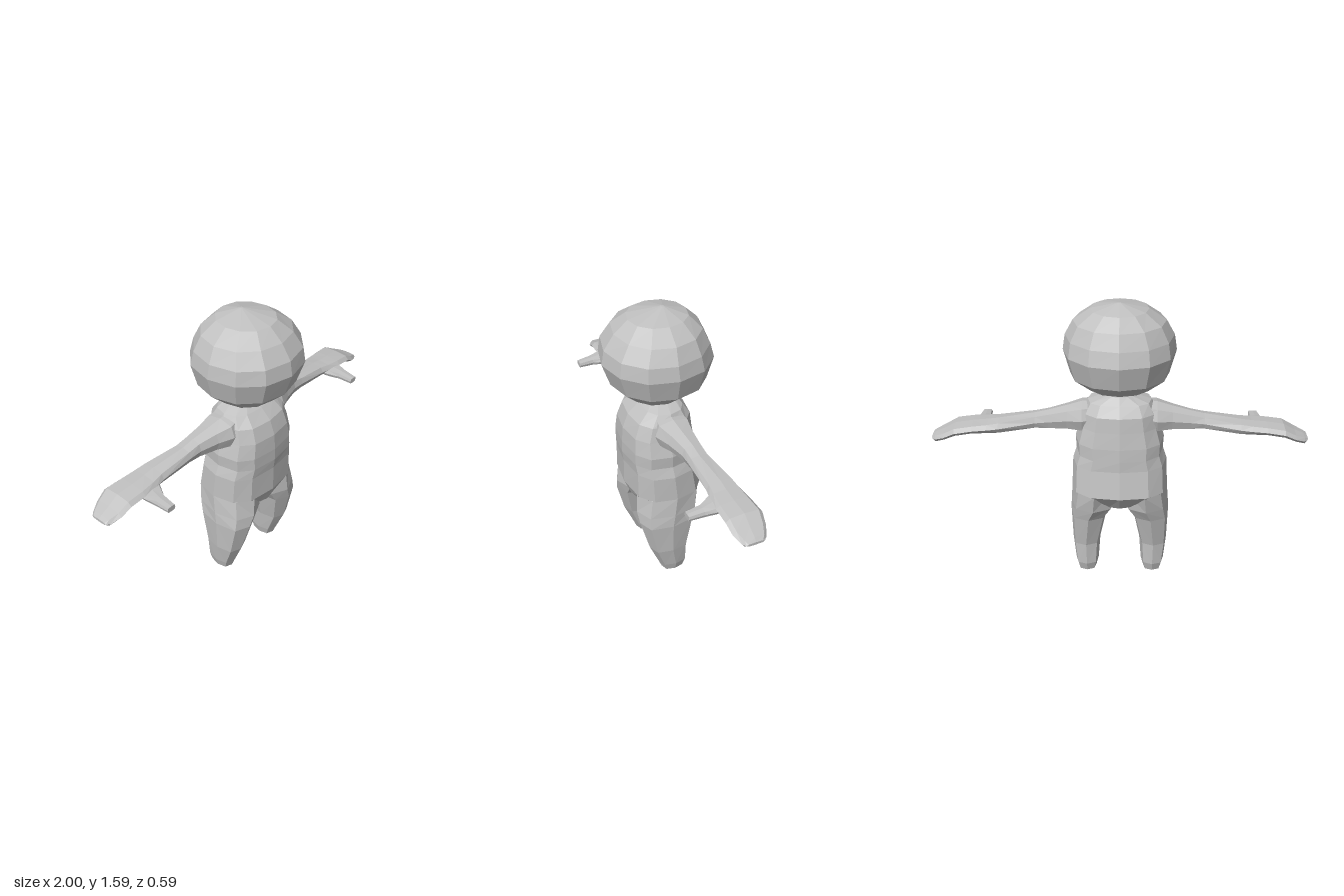
import * as THREE from 'three';

const skin = new THREE.MeshStandardMaterial({ color: 0xc0c0c0, flatShading: true });
skin.name = 'plain grey';

// Closed section between (a0..a1) and (b0..b1); power below 1 makes it boxier
function section(n, a0, a1, b0, b1, power, place) {
  const soft = (v) => (Math.abs(v) < 1e-6 ? 0 : Math.sign(v) * Math.abs(v) ** power);
  return Array.from({ length: n }, (_, j) => {
    const t = (j / n) * Math.PI * 2;
    const a = (a0 + a1) / 2 + ((a1 - a0) / 2) * soft(Math.cos(t));
    const b = (b0 + b1) / 2 + ((b1 - b0) / 2) * soft(Math.sin(t));
    return place(a, b);
  });
}

// Skin over successive sections, closed at both ends; side -1 mirrors in x
function loft(name, rings, side = 1) {
  const n = rings[0].length;
  const pos = [];
  const index = [];
  const tri = (a, b, c) => (side > 0 ? index.push(a, b, c) : index.push(a, c, b));
  const centre = (ring) => [0, 1, 2].map((k) => ring.reduce((s, p) => s + p[k], 0) / n);
  const ends = [centre(rings[0]), centre(rings[rings.length - 1])];
  [...rings.flat(), ...ends].forEach((p) => pos.push(side * p[0], p[1], p[2]));
  const first = rings.length * n;
  const top = first - n;
  for (let j = 0; j < n; j++) {
    const k = (j + 1) % n;
    for (let i = 0; i < rings.length - 1; i++) {
      const a = i * n + j, b = i * n + k;
      tri(a, a + n, b);
      tri(b, a + n, b + n);
    }
    tri(first, j, k);
    tri(first + 1, top + k, top + j);
  }
  const indexed = new THREE.BufferGeometry();
  indexed.setAttribute('position', new THREE.Float32BufferAttribute(pos, 3));
  indexed.setIndex(index);
  const geometry = indexed.toNonIndexed();
  geometry.computeVertexNormals();
  const mesh = new THREE.Mesh(geometry, skin);
  mesh.name = name;
  return mesh;
}

// Section at height y: x range, z back to front
const level = (n, power, y, x0, x1, back, front) =>
  section(n, x0, x1, back, front, power, (x, z) => [x, y, z]);

export function createModel() {
  const group = new THREE.Group();
  group.name = 'figure';

  // Head: y, half width, back, front
  group.add(loft('head', [
    [1.09, 0.03, -0.03, 0.03],
    [1.125, 0.17, -0.15, 0.165],
    [1.205, 0.26, -0.26, 0.25],
    [1.33, 0.295, -0.293, 0.293],
    [1.41, 0.283, -0.27, 0.28],
    [1.49, 0.24, -0.23, 0.225],
    [1.553, 0.15, -0.165, 0.15],
    [1.59, 0.008, -0.045, -0.03],
  ].map(([y, w, b, f]) => level(12, 0.96, y, -w, w, b, f))));

  // Torso: y, half width, back, front
  group.add(loft('torso', [
    [0.42, 0.04, -0.06, 0.06],
    [0.455, 0.1, -0.15, 0.15],
    [0.55, 0.263, -0.22, 0.19],
    [0.7, 0.256, -0.19, 0.19],
    [0.76, 0.236, -0.188, 0.197],
    [0.83, 0.24, -0.183, 0.197],
    [0.92, 0.215, -0.17, 0.19],
    [1.0, 0.2, -0.16, 0.16],
    [1.055, 0.17, -0.12, 0.1],
    [1.095, 0.07, -0.09, 0.04],
  ].map(([y, w, b, f]) => level(12, 0.75, y, -w, w, b, f))));

  for (const side of [1, -1]) {
    const label = side > 0 ? 'left' : 'right';

    // Leg: y, inner x, outer x, back, front, power; the top sinks into the torso
    group.add(loft(label + 'Leg', [
      [0, 0.135, 0.238, -0.085, 0.045, 0.75],
      [0.05, 0.122, 0.252, -0.1, 0.065, 0.75],
      [0.18, 0.112, 0.268, -0.102, 0.12, 0.72],
      [0.37, 0.07, 0.275, -0.145, 0.17, 0.7],
      [0.44, 0.02, 0.271, -0.175, 0.178, 0.8],
      [0.55, 0.01, 0.262, -0.2, 0.172, 1],
      [0.65, 0.06, 0.2, -0.12, 0.12, 1],
    ].map(([y, x0, x1, b, f, power]) => level(8, power, y, x0, x1, b, f)), side));

    // Arm and mitten hand: x, back, front, bottom, top
    group.add(loft(label + 'Arm', [
      [0.1, -0.09, 0.07, 0.9, 1.05],
      [0.2, -0.11, 0.09, 0.885, 1.04],
      [0.28, -0.095, 0.055, 0.895, 1.02],
      [0.38, -0.09, 0.025, 0.9, 0.998],
      [0.45, -0.092, 0.022, 0.905, 0.983],
      [0.64, -0.13, 0.022, 0.892, 0.96],
      [0.7, -0.138, 0.032, 0.893, 0.952],
      [0.78, -0.147, 0.04, 0.895, 0.945],
      [0.87, -0.157, 0.037, 0.885, 0.935],
      [0.93, -0.145, 0.03, 0.858, 0.902],
      [0.98, -0.12, 0.008, 0.838, 0.88],
      [1.0, -0.1, -0.005, 0.853, 0.868],
    ].map(([x, b, f, y0, y1]) =>
      section(8, b, f, y0, y1, 0.68, (z, y) => [x, y, z])), side));

    // Thumb: z, x range, y range, running forward from the palm
    group.add(loft(label + 'Thumb', [
      [-0.01, 0.65, 0.8, 0.895, 0.935],
      [0.035, 0.675, 0.785, 0.882, 0.925],
      [0.09, 0.705, 0.77, 0.876, 0.915],
      [0.17, 0.712, 0.762, 0.874, 0.905],
    ].map(([z, x0, x1, y0, y1]) =>
      section(8, y0, y1, x0, x1, 0.5, (y, x) => [x, y, z])), side));
  }

  return group;
}
